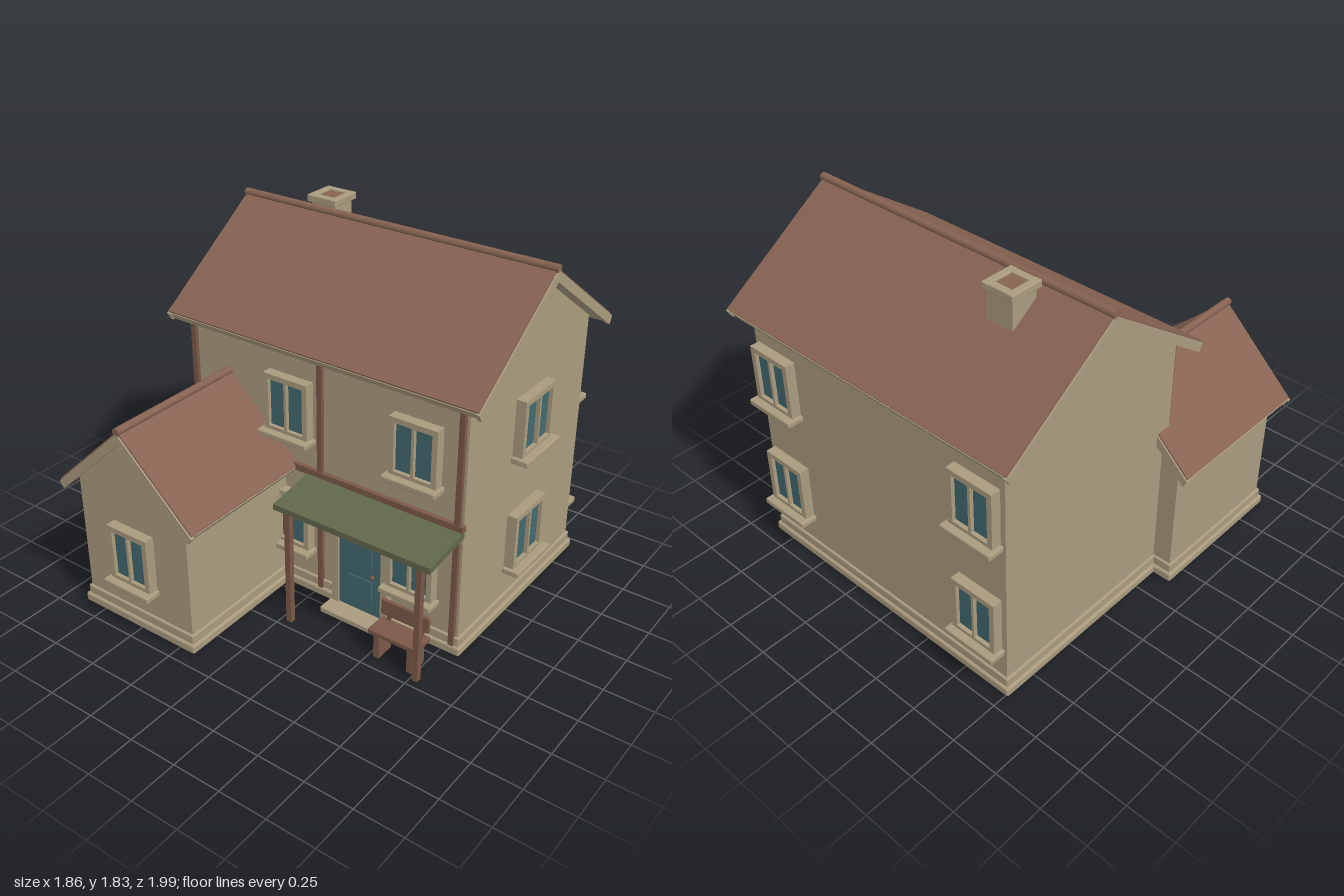
import * as THREE from 'three';
import { RoundedBoxGeometry } from 'three/addons/geometries/RoundedBoxGeometry.js';

const mat = (name, color) => Object.assign(new THREE.MeshStandardMaterial({ color }), { name });
const plaster = mat('plaster', 0xaa9b7e);
const tile = mat('roofTile', 0x876352);
const timber = mat('timber', 0x7c5848);
const teal = mat('tealPaint', 0x42696f);
const green = mat('greenCanopy', 0x61674a);

function add(parent, name, geometry, material, x = 0, y = 0, z = 0) {
  const mesh = new THREE.Mesh(geometry, material);
  mesh.name = name;
  mesh.position.set(x, y, z);
  parent.add(mesh);
  return mesh;
}

// Box given by its limits on each axis; r rounds the edges
function box(parent, name, material, [x0, x1], [y0, y1], [z0, z1], r = 0) {
  const size = [x1 - x0, y1 - y0, z1 - z0];
  const geometry = r ? new RoundedBoxGeometry(...size, 2, r) : new THREE.BoxGeometry(...size);
  return add(parent, name, geometry, material, (x0 + x1) / 2, (y0 + y1) / 2, (z0 + z1) / 2);
}

const polygon = (points) => new THREE.Shape(points.map(([x, y]) => new THREE.Vector2(x, y)));
const extrude = (shape, depth) =>
  new THREE.ExtrudeGeometry(shape, { depth, bevelEnabled: false, curveSegments: 16 });

// Gabled body with a ridge along z: walls, two-step plinth and layered roof
function gabledBody(name, p) {
  const g = new THREE.Group();
  g.name = name;
  const under = p.ridge - p.thick;
  const w = p.wallHalf;
  const [z0, z1] = p.wall;
  const [r0, r1] = p.roof;

  add(g, 'walls', extrude(polygon([
    [-w, 0.03], [w, 0.03], [w, under - w * p.slope], [0, under], [-w, under - w * p.slope],
  ]), z1 - z0), plaster, 0, 0, z0);
  box(g, 'plinthLower', plaster, [-w - 0.025, w + 0.025], [0.008, 0.057], [z0 - 0.026, z1 + 0.025], 0.012);
  box(g, 'plinthUpper', plaster, [-w - 0.012, w + 0.012], [0.05, 0.103], [z0 - 0.012, z1 + 0.012], 0.008);

  // Chevron section: both slopes between two offsets below the roof surface
  const chevron = (top, bottom, half) => {
    const drop = bottom - top;
    const tipX = half - drop * 0.42;
    const outer = p.ridge - top - half * p.slope;
    const inner = p.ridge - bottom - tipX * p.slope;
    return polygon([[0, p.ridge - top], [-half, outer], [-tipX, inner],
      [0, p.ridge - bottom], [tipX, inner], [half, outer]]);
  };
  add(g, 'roofDeck', extrude(chevron(0.012, p.thick, p.roofHalf - 0.005), r1 - r0 - 0.03), plaster, 0, 0, r0 + 0.015);
  add(g, 'roofTiles', extrude(chevron(0, 0.014, p.roofHalf - 0.003), r1 - r0 - 0.016), tile, 0, 0, r0 + 0.008);
  for (const z of [r0, r1 - 0.02]) {
    add(g, 'bargeBoard', extrude(chevron(0.01, p.thick + 0.008, p.roofHalf), 0.02), plaster, 0, 0, z);
  }
  const ridgeCap = add(g, 'ridgeCap', new THREE.CylinderGeometry(0.02, 0.02, r1 - r0, 10), tile,
    0, p.ridge - 0.002, (r0 + r1) / 2);
  ridgeCap.rotation.x = Math.PI / 2;
  return g;
}

// Window on a wall, with its frame foot at the given height
function addWindow(parent, width, x, y, z, turn = 0) {
  const g = new THREE.Group();
  g.name = 'window';
  const h = 0.295, rim = 0.028, a = width / 2;
  const frame = polygon([[-a, 0], [a, 0], [a, h], [-a, h]]);
  for (const s of [-1, 1]) {
    const lo = s < 0 ? -a + rim : 0.007;
    const hi = s < 0 ? -0.007 : a - rim;
    frame.holes.push(new THREE.Path([[lo, 0.02], [lo, h - rim], [hi, h - rim], [hi, 0.02]]
      .map(([u, v]) => new THREE.Vector2(u, v))));
  }
  add(g, 'windowFrame', extrude(frame, 0.052), plaster);
  box(g, 'windowGlass', teal, [-a + 0.015, a - 0.015], [0.01, h - 0.015], [0.024, 0.032]);
  box(g, 'windowSill', plaster, [-a - 0.018, a + 0.018], [-0.03, 0.002], [0, 0.09], 0.008);
  g.position.set(x, y, z);
  g.rotation.y = turn;
  parent.add(g);
}

// Round-headed outline for the door and its surround
function arch(r, foot, spring) {
  const s = new THREE.Shape();
  s.moveTo(-r, foot);
  s.lineTo(r, foot);
  s.lineTo(r, spring);
  s.absarc(0, spring, r, 0, Math.PI, false);
  s.closePath();
  return s;
}

export function createModel() {
  const house = new THREE.Group();
  house.name = 'house';
  const front = 0.188, back = -0.906, side = 0.835;

  // Main house has its ridge along x, the wing along z
  const main = gabledBody('mainHouse', {
    wallHalf: 0.547, wall: [-0.745, side], roofHalf: 0.627, roof: [-0.83, 0.92],
    ridge: 1.792, slope: 0.695, thick: 0.056,
  });
  main.rotation.y = Math.PI / 2;
  main.position.z = -0.36;
  const wing = gabledBody('frontWing', {
    wallHalf: 0.335, wall: [0.15, 0.908], roofHalf: 0.42, roof: [0.1, 0.96],
    ridge: 1.105, slope: 0.935, thick: 0.06,
  });
  wing.position.x = -0.51;
  house.add(main, wing);

  // Windows on two floors
  for (const y of [0.272, 0.892]) {
    for (const x of [-0.13, 0.583]) addWindow(house, 0.255, x, y, front);
    for (const x of [-0.59, 0.685]) addWindow(house, 0.255, x, y, back, Math.PI);
    addWindow(house, 0.285, side, y, -0.365, Math.PI / 2);
  }
  addWindow(house, 0.25, -0.51, 0.272, 0.908);

  // Chimney with a hollow cap
  const chimney = new THREE.Group();
  chimney.name = 'chimney';
  chimney.position.set(-0.4, 0, -0.495);
  house.add(chimney);
  box(chimney, 'chimneyShaft', plaster, [-0.07, 0.07], [1.5, 1.8], [-0.07, 0.07]);
  for (const s of [-1, 1]) {
    const lip = s < 0 ? [-0.086, -0.048] : [0.048, 0.086];
    box(chimney, 'chimneyCap', plaster, lip, [1.793, 1.83], [-0.088, 0.088], 0.006);
    box(chimney, 'chimneyCap', plaster, [-0.08, 0.08], [1.793, 1.83], lip, 0.006);
  }
  box(chimney, 'chimneyFlue', tile, [-0.05, 0.05], [1.79, 1.82], [-0.05, 0.05]);

  // Timber frame on the front wall
  for (const x of [-0.72, 0.045, 0.808]) {
    box(house, 'wallTimber', timber, [x - 0.014, x + 0.014], [0.01, 1.335], [front - 0.01, 0.207]);
  }
  box(house, 'wallBeam', timber, [-0.735, 0.84], [0.695, 0.73], [front - 0.01, 0.21]);

  // Porch with a sloping canopy on two posts
  add(house, 'porchCanopy', extrude(polygon([
    [-0.472, 0.632], [-0.472, 0.662], [-0.19, 0.702], [-0.19, 0.668],
  ]), 0.867), green, -0.026).rotation.y = Math.PI / 2;
  for (const x of [0.045, 0.777]) {
    box(house, 'porchPost', timber, [x - 0.015, x + 0.015], [0, 0.645], [0.432, 0.462]);
  }

  // Door, surround and step
  const door = new THREE.Group();
  door.name = 'door';
  door.position.set(0.3, 0, front);
  house.add(door);
  const surround = arch(0.162, 0.03, 0.445);
  surround.holes.push(arch(0.124, 0.04, 0.437));
  add(door, 'doorSurround', extrude(surround, 0.045), plaster);
  add(door, 'doorLeaf', extrude(arch(0.126, 0.04, 0.437), 0.034), teal);
  box(door, 'doorPanel', teal, [-0.07, 0.07], [0.27, 0.43], [0.033, 0.041]);
  box(door, 'doorPanel', teal, [-0.07, 0.07], [0.075, 0.235], [0.033, 0.041]);
  add(door, 'doorKnob', new THREE.SphereGeometry(0.011, 10, 8), timber, 0.077, 0.27, 0.044);
  box(door, 'doorStep', plaster, [-0.175, 0.175], [0.008, 0.04], [0, 0.13], 0.008);

  // Bench beside the door
  const bench = new THREE.Group();
  bench.name = 'bench';
  house.add(bench);
  box(bench, 'benchSeat', timber, [0.495, 0.765], [0.128, 0.155], [0.315, 0.437], 0.006);
  box(bench, 'benchBack', timber, [0.497, 0.763], [0.178, 0.265], [0.314, 0.332], 0.006);
  for (const x of [0.54, 0.725]) {
    box(bench, 'benchLeg', timber, [x - 0.015, x + 0.015], [0, 0.13], [0.325, 0.43]);
    box(bench, 'benchUpright', timber, [x - 0.01, x + 0.01], [0.14, 0.2], [0.318, 0.328]);
  }
  return house;
}
